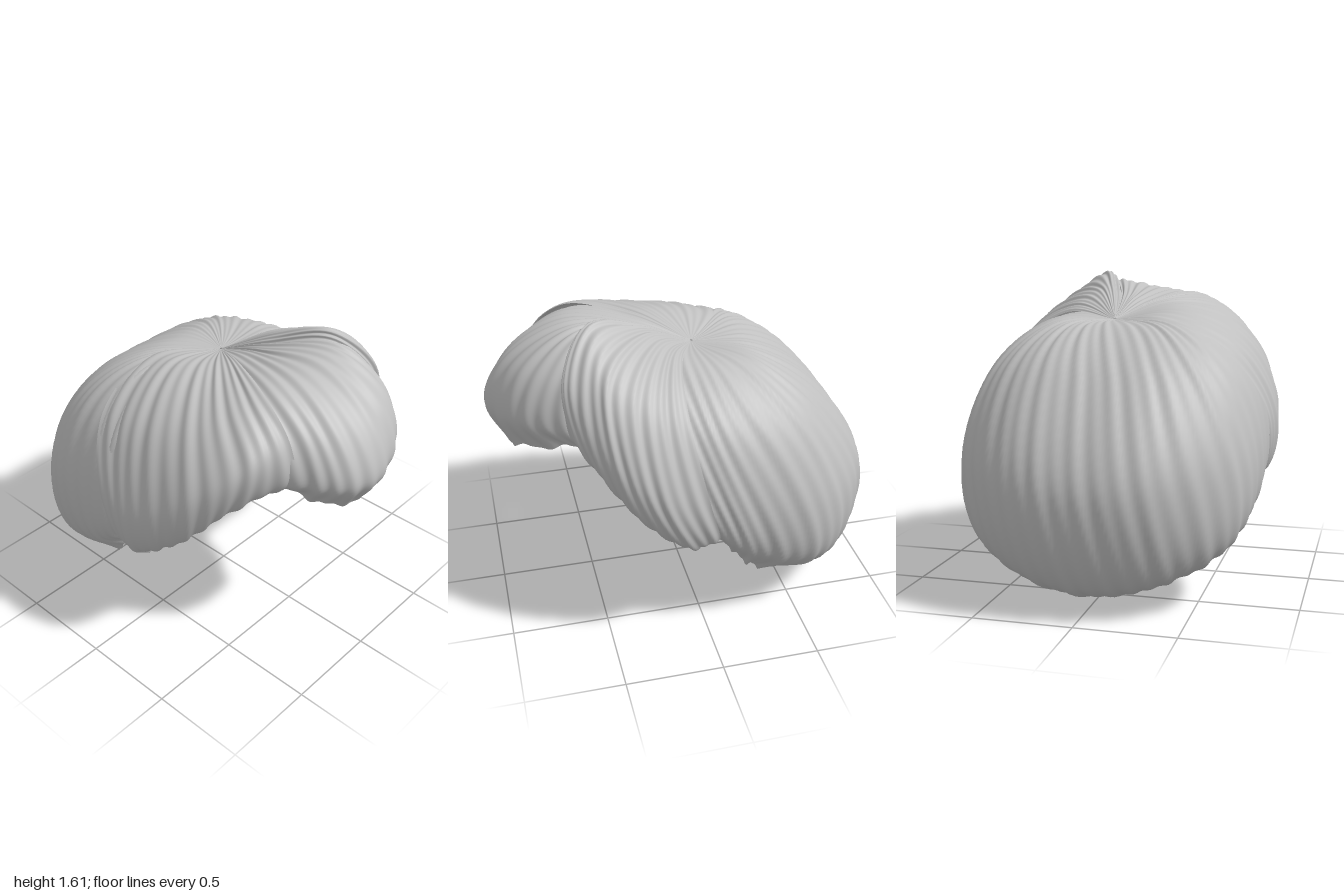
import * as THREE from 'three';

const CROWN = [0.05, 1.36, -0.07];

// Surface swept through locks of hair; each lock runs from the crown to the rim.
function hairPanel(name, locks, ridges, twist, material) {
  const nu = (locks.length - 1) * 26, nv = 48;
  const curves = locks.map((pts) => new THREE.CatmullRomCurve3(
    [CROWN, ...pts].map((p) => new THREE.Vector3(...p))));
  const pos = [], index = [];
  for (let j = 0; j <= nv; j++) {
    const v = 0.004 + 0.996 * j / nv;
    const across = new THREE.CatmullRomCurve3(curves.map((c) => c.getPoint(v)), false, 'catmullrom', 0.5);
    for (let i = 0; i <= nu; i++) pos.push(...across.getPoint(i / nu).toArray());
  }
  for (let j = 0; j < nv; j++) {
    for (let i = 0; i < nu; i++) {
      const a = j * (nu + 1) + i, b = a + nu + 1;
      index.push(a, b, a + 1, b, b + 1, a + 1);
    }
  }
  const geo = new THREE.BufferGeometry();
  geo.setAttribute('position', new THREE.Float32BufferAttribute(pos, 3));
  geo.setIndex(index);
  geo.computeVertexNormals();

  // Soft swirling grooves between strands, and an uneven rim
  const p = geo.attributes.position, n = geo.attributes.normal;
  for (let k = 0; k < p.count; k++) {
    const u = (k % (nu + 1)) / nu, v = Math.floor(k / (nu + 1)) / nv;
    const phase = 2 * Math.PI * (ridges * u + twist * v);
    const wave = Math.sin(phase) + 0.6 * Math.sin(phase * 0.57 + 4 * v);
    const d = 0.0045 * Math.min(1, v * 4) * (wave - 0.3);
    const rag = 0.012 * Math.pow(v, 12) * Math.sin(phase * 0.45 + 1);
    p.setXYZ(k, p.getX(k) + n.getX(k) * d, p.getY(k) + n.getY(k) * d + rag, p.getZ(k) + n.getZ(k) * d);
  }
  geo.computeVertexNormals();
  const mesh = new THREE.Mesh(geo, material);
  mesh.name = name;
  return mesh;
}

export function createModel() {
  const hair = new THREE.MeshStandardMaterial({ color: 0xc0c0c0, side: THREE.DoubleSide });
  hair.name = 'hairGrey';
  const group = new THREE.Group();
  group.name = 'hair';

  // Rounded back, half of it mirrored
  const half = [
    [[0.33, 1.38, 0.1], [0.62, 1.2, 0.12], [0.76, 0.87, 0.06], [0.735, 0.64, 0.0], [0.62, 0.56, -0.05]],
    [[0.38, 1.36, -0.1], [0.66, 1.16, -0.12], [0.775, 0.8, -0.2], [0.74, 0.47, -0.25], [0.59, 0.32, -0.22]],
    [[0.32, 1.35, -0.3], [0.57, 1.12, -0.5], [0.7, 0.7, -0.62], [0.65, 0.31, -0.6], [0.46, 0.15, -0.38]],
    [[0.2, 1.34, -0.37], [0.31, 1.13, -0.67], [0.37, 0.65, -0.93], [0.35, 0.19, -0.83], [0.24, 0.04, -0.49]],
  ];
  const middle = [[0.03, 1.34, -0.37], [0, 1.12, -0.7], [0, 0.6, -1.0], [0, 0.13, -0.88], [0, 0.01, -0.53]];
  const mirrored = half.map((l) => l.map(([x, y, z]) => [-x, y, z])).reverse();
  group.add(hairPanel('backHair', [...half, middle, ...mirrored], 30, -5, hair));

  // Right side lock, overlapping the back and meeting the fringe
  group.add(hairPanel('rightSideHair', [
    [[-0.25, 1.37, -0.28], [-0.6, 1.2, -0.27], [-0.78, 0.88, -0.13], [-0.75, 0.6, -0.05], [-0.62, 0.51, -0.01]],
    [[-0.3, 1.41, -0.08], [-0.63, 1.24, 0.02], [-0.8, 0.88, 0.12], [-0.76, 0.6, 0.1], [-0.63, 0.49, 0.06]],
    [[-0.26, 1.44, 0.1], [-0.56, 1.33, 0.3], [-0.72, 1.05, 0.42], [-0.69, 0.74, 0.34], [-0.59, 0.66, 0.23]],
    [[-0.18, 1.46, 0.18], [-0.42, 1.43, 0.45], [-0.54, 1.25, 0.64], [-0.56, 0.98, 0.56], [-0.51, 0.89, 0.45]],
    [[-0.11, 1.46, 0.2], [-0.29, 1.48, 0.53], [-0.33, 1.34, 0.71], [-0.32, 1.14, 0.75], [-0.29, 1.03, 0.66]],
  ], 12, -1.5, hair));

  // Fringe bulging over the forehead, its ends tucked under the side locks
  group.add(hairPanel('fringe', [
    [[-0.14, 1.43, 0.15], [-0.33, 1.44, 0.46], [-0.41, 1.3, 0.63], [-0.41, 1.1, 0.64], [-0.38, 1.03, 0.54]],
    [[-0.07, 1.45, 0.18], [-0.23, 1.48, 0.53], [-0.28, 1.33, 0.74], [-0.29, 1.1, 0.81], [-0.25, 0.99, 0.7]],
    [[0, 1.46, 0.2], [-0.1, 1.5, 0.57], [-0.16, 1.34, 0.83], [-0.18, 1.1, 0.94], [-0.16, 0.94, 0.84]],
    [[0.04, 1.47, 0.2], [0.06, 1.53, 0.57], [0.03, 1.36, 0.88], [0, 1.11, 1.0], [0.02, 0.92, 0.9]],
    [[0.08, 1.48, 0.2], [0.18, 1.55, 0.55], [0.24, 1.39, 0.82], [0.24, 1.15, 0.92], [0.2, 0.95, 0.86]],
    [[0.1, 1.47, 0.2], [0.25, 1.55, 0.5], [0.35, 1.38, 0.7], [0.37, 1.15, 0.78], [0.34, 1.0, 0.68]],
    [[0.15, 1.45, 0.17], [0.32, 1.5, 0.43], [0.42, 1.33, 0.58], [0.44, 1.12, 0.59], [0.42, 1.02, 0.52]],
  ], 12, -1.5, hair));

  // Left side lock with its high front ridge
  group.add(hairPanel('leftSideHair', [
    [[0.09, 1.48, 0.2], [0.21, 1.56, 0.51], [0.36, 1.36, 0.65], [0.4, 1.13, 0.64], [0.38, 1.03, 0.58]],
    [[0.16, 1.53, 0.23], [0.27, 1.59, 0.48], [0.46, 1.36, 0.62], [0.55, 1.01, 0.55], [0.51, 0.89, 0.45]],
    [[0.24, 1.5, 0.2], [0.5, 1.42, 0.44], [0.7, 1.05, 0.45], [0.69, 0.74, 0.34], [0.59, 0.66, 0.23]],
    [[0.32, 1.44, 0.13], [0.62, 1.29, 0.27], [0.8, 0.9, 0.25], [0.765, 0.6, 0.13], [0.63, 0.49, 0.06]],
    [[0.36, 1.39, 0.05], [0.65, 1.2, 0.08], [0.785, 0.86, 0.02], [0.75, 0.6, -0.05], [0.62, 0.53, -0.05]],
  ], 12, -1.5, hair));

  // Centre and stand on the ground
  const box = new THREE.Box3().setFromObject(group);
  const c = box.getCenter(new THREE.Vector3());
  for (const m of group.children) m.geometry.translate(-c.x, -box.min.y, -c.z);
  return group;
}
